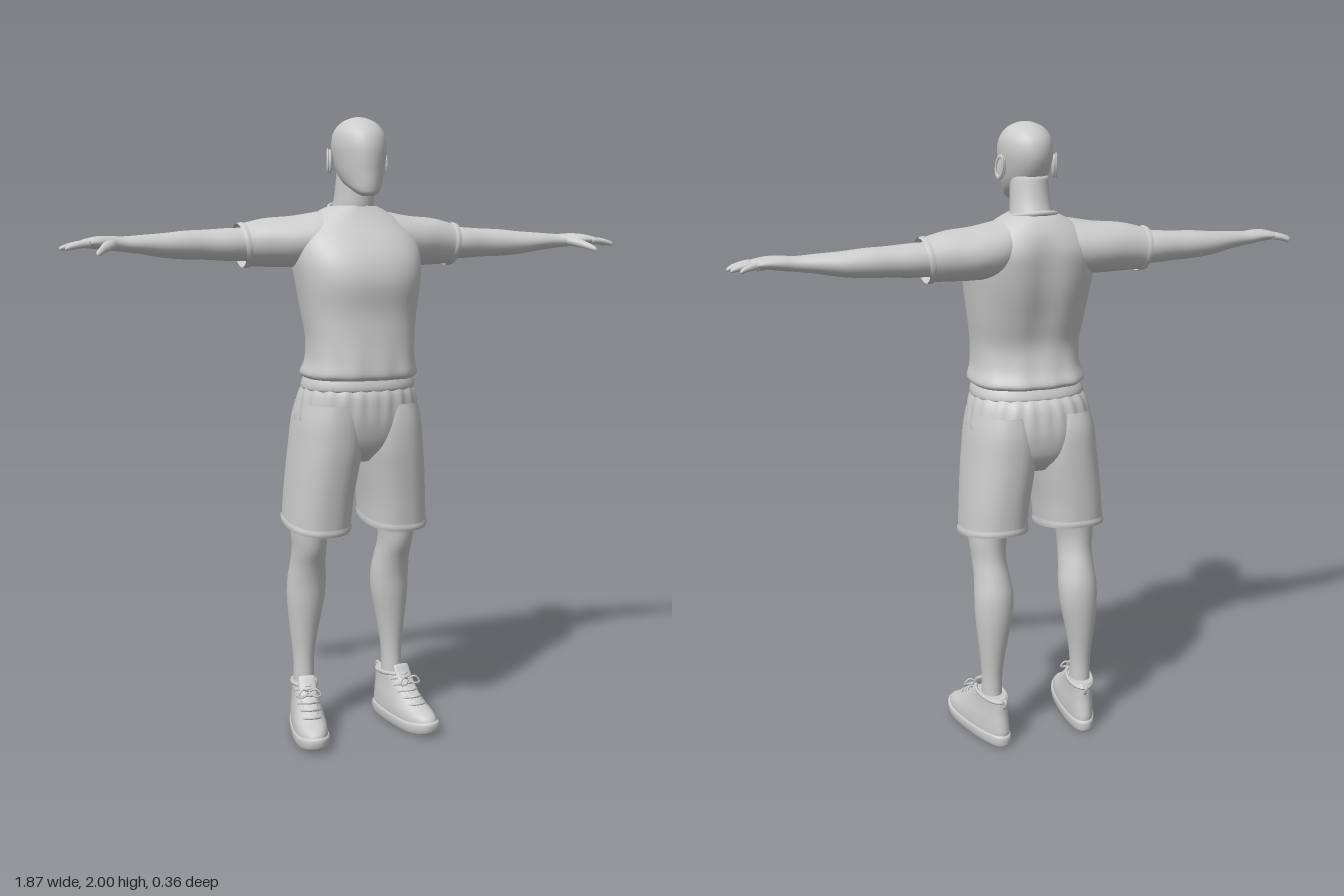
import * as THREE from 'three';

const mat = new THREE.MeshStandardMaterial({ color: 0xcccccc });
const cloth = new THREE.MeshStandardMaterial({ color: 0xcccccc, side: THREE.DoubleSide });

// Catmull-Rom blend of four numbers
const blend = (a, b, c, d, t) =>
  b + 0.5 * t * (c - a + t * (2 * a - 5 * b + 4 * c - d + t * (3 * (b - c) + d - a)));

// Smooth skin over oval sections. Each row: [t, uMin, uMax, vMin, vMax], t rising along the axis.
// Axis y: u = z, v = x. Axis x: u = y, v = z. Axis z: u = x, v = y.
function loft(axis, rows, { seg = 36, steps = 4, pow = 1, caps = true, bend } = {}) {
  const pos = [], idx = [], rings = (rows.length - 1) * steps + 1;
  const put = (t, u, v) => {
    const p = axis === 'y' ? new THREE.Vector3(v, t, u)
      : axis === 'x' ? new THREE.Vector3(t, u, v) : new THREE.Vector3(u, v, t);
    if (bend) bend(p);
    pos.push(p.x, p.y, p.z);
  };
  const row = (i) => rows[Math.max(0, Math.min(rows.length - 1, i))];
  const round = (c) => Math.sign(c) * Math.abs(c) ** pow;
  const mids = [];
  for (let r = 0; r < rings; r++) {
    const i = Math.min(Math.floor(r / steps), rows.length - 2), f = r / steps - i;
    const [t, u0, u1, v0, v1] = row(i).map((_, k) =>
      blend(row(i - 1)[k], row(i)[k], row(i + 1)[k], row(i + 2)[k], f));
    mids.push([t, (u0 + u1) / 2, (v0 + v1) / 2]);
    for (let j = 0; j < seg; j++) {
      const a = (j / seg) * Math.PI * 2;
      put(t, (u0 + u1) / 2 + round(Math.cos(a)) * (u1 - u0) / 2,
        (v0 + v1) / 2 + round(Math.sin(a)) * (v1 - v0) / 2);
      if (r < rings - 1) {
        const p = r * seg + j, q = r * seg + (j + 1) % seg;
        idx.push(p, q, p + seg, q, q + seg, p + seg);
      }
    }
  }
  if (caps) {
    const n = rings * seg, last = n - seg;
    put(...mids[0]);
    put(...mids[rings - 1]);
    for (let j = 0; j < seg; j++) {
      const k = (j + 1) % seg;
      idx.push(n, k, j, n + 1, last + j, last + k);
    }
  }
  const g = new THREE.BufferGeometry();
  g.setAttribute('position', new THREE.Float32BufferAttribute(pos, 3));
  g.setIndex(idx);
  g.computeVertexNormals();
  return g;
}

// Upright loft symmetric in x: rows [y, zMin, zMax, halfWidth]
const upright = (rows, opt) => loft('y', rows.map(([y, a, b, w]) => [y, a, b, -w, w]), opt);

function mirrored(geo) {
  const g = geo.clone().scale(-1, 1, 1), a = g.index.array;
  for (let i = 0; i < a.length; i += 3) [a[i], a[i + 1]] = [a[i + 1], a[i]];
  g.computeVertexNormals();
  return g;
}

const tube = (pts, r) => new THREE.TubeGeometry(
  new THREE.CatmullRomCurve3(pts.map((p) => new THREE.Vector3(...p))), 16, r, 6);

export function createModel() {
  const model = new THREE.Group();
  const add = (name, geo, m = mat) => {
    const mesh = new THREE.Mesh(geo, m);
    mesh.name = name;
    model.add(mesh);
  };
  const pair = (name, geo, m) => {
    add('left' + name, geo, m);
    add('right' + name, mirrored(geo), m);
  };

  // Head, neck and ears
  add('head', upright([
    [1.757, 0.08, 0.115, 0.016], [1.765, 0.06, 0.126, 0.032], [1.78, 0.025, 0.13, 0.046],
    [1.8, -0.03, 0.132, 0.058], [1.83, -0.065, 0.133, 0.069], [1.87, -0.088, 0.135, 0.077],
    [1.91, -0.096, 0.133, 0.082], [1.95, -0.086, 0.118, 0.077], [1.98, -0.055, 0.085, 0.057],
    [1.995, -0.016, 0.05, 0.03], [2, 0.008, 0.028, 0.01]]));
  add('neck', upright([[1.66, -0.13, 0.03, 0.085], [1.7, -0.12, 0.04, 0.071], [1.74, -0.1, 0.045, 0.064],
    [1.78, -0.085, 0.046, 0.061], [1.84, -0.072, 0.05, 0.058]]));
  const place = (g) => g.rotateX(-0.2).rotateY(0.35).translate(0.087, 1.865, -0.004);
  pair('Ear', place(new THREE.SphereGeometry(1, 16, 12).scale(0.009, 0.038, 0.02)));
  pair('EarRim', place(new THREE.TorusGeometry(0.016, 0.004, 8, 20).rotateY(Math.PI / 2)
    .scale(1, 2, 1).translate(0.007, 0.002, 0)));

  // Shirt body with a shallow groove down the back
  add('shirt', upright([
    [1.19, -0.135, 0.165, 0.174], [1.205, -0.145, 0.177, 0.186], [1.25, -0.125, 0.175, 0.174],
    [1.32, -0.115, 0.169, 0.173], [1.4, -0.135, 0.166, 0.184], [1.49, -0.16, 0.176, 0.197],
    [1.56, -0.172, 0.16, 0.205], [1.62, -0.176, 0.122, 0.2], [1.67, -0.16, 0.08, 0.165],
    [1.71, -0.135, 0.052, 0.11], [1.728, -0.118, 0.042, 0.072]], {
    seg: 64, pow: 0.82,
    bend: (p) => {
      const up = THREE.MathUtils.smoothstep(p.y, 1.2, 1.45) * (1 - THREE.MathUtils.smoothstep(p.y, 1.6, 1.7));
      if (p.z < 0) p.z += 0.014 * up * Math.exp(-((p.x / 0.045) ** 2));
      const low = 1 - THREE.MathUtils.smoothstep(p.y, 1.2, 1.34);
      p.z += 0.003 * low * Math.sin(p.x * 70);
    } }), cloth);
  add('collar', new THREE.TorusGeometry(1, 0.09, 10, 40).rotateX(Math.PI / 2)
    .scale(0.074, 0.09, 0.082).rotateX(0.2).translate(0, 1.718, -0.037));

  // Sleeves, open at the cuff
  const sleeve = [
    [0.04, 1.58, 1.724, -0.125, 0.035], [0.12, 1.54, 1.71, -0.16, 0.065], [0.2, 1.536, 1.697, -0.168, 0.052],
    [0.28, 1.538, 1.69, -0.156, 0.025], [0.34, 1.54, 1.676, -0.148, 0.006], [0.365, 1.538, 1.672, -0.147, 0.004]];
  const lean = (p) => { p.x += 0.12 * (p.y - 1.605) * THREE.MathUtils.smoothstep(p.x, 0.2, 0.36); };
  pair('Sleeve', loft('x', sleeve, { caps: false, bend: lean }), cloth);
  pair('SleeveCuff', loft('x', [[0.345, 1.537, 1.677, -0.15, 0.008], [0.355, 1.535, 1.677, -0.151, 0.009],
    [0.365, 1.537, 1.674, -0.149, 0.006]], { caps: false, bend: lean }), cloth);

  // Arms with palm, fingers and thumb
  pair('Arm', loft('x', [
    [0.25, 1.56, 1.66, -0.13, -0.02], [0.38, 1.557, 1.66, -0.134, -0.016], [0.47, 1.562, 1.655, -0.125, -0.024],
    [0.54, 1.564, 1.652, -0.121, -0.02], [0.61, 1.57, 1.645, -0.109, -0.015], [0.68, 1.582, 1.64, -0.089, -0.012],
    [0.74, 1.59, 1.636, -0.073, -0.013], [0.78, 1.594, 1.638, -0.071, 0.0], [0.82, 1.599, 1.637, -0.068, 0.018],
    [0.855, 1.602, 1.63, -0.064, 0.024], [0.87, 1.606, 1.624, -0.058, 0.02]]));
  const fingers = [[-0.052, -0.066, 0.905], [-0.03, -0.035, 0.928], [-0.007, -0.005, 0.935], [0.014, 0.026, 0.922]];
  fingers.forEach(([z0, z1, tip], n) => {
    const rows = [[0, 0.01], [0.35, 0.0105], [0.7, 0.009], [0.93, 0.007], [1, 0.002]].map(([f, r]) => {
      const y = 1.615 - 0.014 * f * f, z = z0 + (z1 - z0) * f;
      return [0.845 + (tip - 0.845) * f, y - r, y + r, z - r, z + r];
    });
    pair('Finger' + (n + 1), loft('x', rows, { seg: 12, steps: 3 }));
  });
  pair('Thumb', loft('z', [[-0.02, 0.755, 0.8, 1.597, 1.63], [0.01, 0.772, 0.812, 1.594, 1.623],
    [0.035, 0.798, 0.824, 1.588, 1.611], [0.055, 0.816, 0.836, 1.582, 1.6],
    [0.066, 0.829, 0.838, 1.581, 1.589]], { seg: 14 }));

  // Shorts: gathered seat, waistband and two open legs
  const gather = (p) => {
    const w = THREE.MathUtils.smoothstep(p.y, 1.0, 1.12), a = Math.atan2(p.x, p.z);
    const k = 1 + 0.016 * w * Math.cos(22 * a);
    p.x *= k;
    p.z *= k;
  };
  add('shortsSeat', upright([[0.92, -0.11, 0.07, 0.06], [0.97, -0.155, 0.125, 0.15], [1.04, -0.17, 0.15, 0.199],
    [1.1, -0.165, 0.157, 0.194], [1.14, -0.152, 0.156, 0.186], [1.165, -0.13, 0.146, 0.176]],
  { seg: 132, pow: 0.85, bend: gather }), cloth);
  add('waistband', upright([[1.15, -0.13, 0.146, 0.176], [1.158, -0.138, 0.153, 0.182],
    [1.175, -0.134, 0.153, 0.181], [1.2, -0.12, 0.145, 0.172]], { seg: 48, pow: 0.85 }));
  const hem = (p) => {
    p.y -= 0.145 * (p.z + 0.03) * (1 - THREE.MathUtils.smoothstep(p.y, 0.71, 0.92));
  };
  pair('ShortsLeg', loft('y', [
    [0.71, -0.165, 0.112, 0.028, 0.236], [0.8, -0.169, 0.124, 0.022, 0.23], [0.9, -0.172, 0.14, 0.006, 0.221],
    [0.97, -0.173, 0.149, -0.004, 0.213], [1.05, -0.171, 0.153, 0.0, 0.203], [1.11, -0.157, 0.149, 0.015, 0.188]],
  { caps: false, pow: 0.85, seg: 48, bend: hem }), cloth);
  pair('ShortsHem', loft('y', [[0.71, -0.167, 0.114, 0.026, 0.238], [0.72, -0.169, 0.117, 0.025, 0.239],
    [0.732, -0.167, 0.116, 0.026, 0.236]], { caps: false, pow: 0.85, seg: 48, bend: hem }), cloth);

  // Legs
  pair('Leg', loft('y', [
    [0.09, -0.125, -0.035, 0.122, 0.192], [0.2, -0.121, -0.042, 0.125, 0.191], [0.27, -0.126, -0.041, 0.12, 0.194],
    [0.35, -0.137, -0.033, 0.106, 0.203], [0.44, -0.146, -0.02, 0.088, 0.211], [0.51, -0.144, -0.01, 0.084, 0.211],
    [0.57, -0.13, 0.008, 0.091, 0.206], [0.63, -0.115, 0.035, 0.097, 0.206], [0.7, -0.115, 0.05, 0.09, 0.212],
    [0.82, -0.13, 0.075, 0.055, 0.205], [0.95, -0.14, 0.1, 0.03, 0.19]]));

  // Shoes, built straight and then turned outward
  const turn = (g) => g.rotateY(0.17).translate(0.172, 0, 0);
  const toe = (p) => {
    const f = Math.max(0, (p.z - 0.07) / 0.11);
    p.y += 0.014 * f * f;
    p.x *= 1 + 0.1 * THREE.MathUtils.clamp(p.z / 0.12, -1, 1);
  };
  pair('Sole', turn(upright([[0, -0.165, 0.165, 0.044], [0.005, -0.174, 0.176, 0.052], [0.02, -0.177, 0.181, 0.056],
    [0.035, -0.176, 0.18, 0.056], [0.041, -0.17, 0.174, 0.052]], { pow: 0.8, bend: toe })));
  pair('ShoeUpper', turn(upright([[0.03, -0.17, 0.174, 0.052], [0.05, -0.171, 0.167, 0.053],
    [0.068, -0.168, 0.146, 0.052], [0.085, -0.165, 0.11, 0.05], [0.11, -0.161, 0.068, 0.046],
    [0.135, -0.16, 0.035, 0.043], [0.155, -0.158, 0.012, 0.042], [0.166, -0.152, 0, 0.04]],
  { pow: 0.85, bend: toe })));
  pair('ShoeCollar', turn(new THREE.TorusGeometry(1, 0.13, 10, 32).rotateX(Math.PI / 2)
    .scale(0.04, 0.055, 0.075).rotateX(-0.1).translate(0, 0.162, -0.077)));
  pair('Tongue', turn(loft('y', [[0.09, 0.07, 0.1, -0.022, 0.022], [0.13, 0.022, 0.046, -0.026, 0.026],
    [0.165, -0.015, 0.009, -0.029, 0.029], [0.192, -0.028, -0.012, -0.028, 0.028],
    [0.198, -0.025, -0.018, -0.02, 0.02]], { seg: 20 })));
  const laceRows = [[0.09, 0.102], [0.107, 0.075], [0.124, 0.052], [0.141, 0.03], [0.157, 0.012]];
  laceRows.forEach(([y, z], n) => {
    pair('Lace' + (n + 1), turn(tube([[-0.036, y - 0.006, z - 0.035], [-0.02, y + 0.003, z - 0.008],
      [0, y + 0.007, z + 0.004], [0.02, y + 0.003, z - 0.008], [0.036, y - 0.006, z - 0.035]], 0.0045)));
  });
  [-1, 1].forEach((s) => pair(s < 0 ? 'InnerBow' : 'OuterBow', turn(tube([[0, 0.158, 0.022],
    [s * 0.022, 0.168, 0.032], [s * 0.038, 0.148, 0.036], [s * 0.02, 0.146, 0.04], [0, 0.156, 0.024]], 0.0035))));
  pair('HeelTab', turn(tube([[0, 0.135, -0.158], [0, 0.15, -0.172], [0, 0.164, -0.174], [0, 0.162, -0.152]], 0.005)));

  return model;
}
